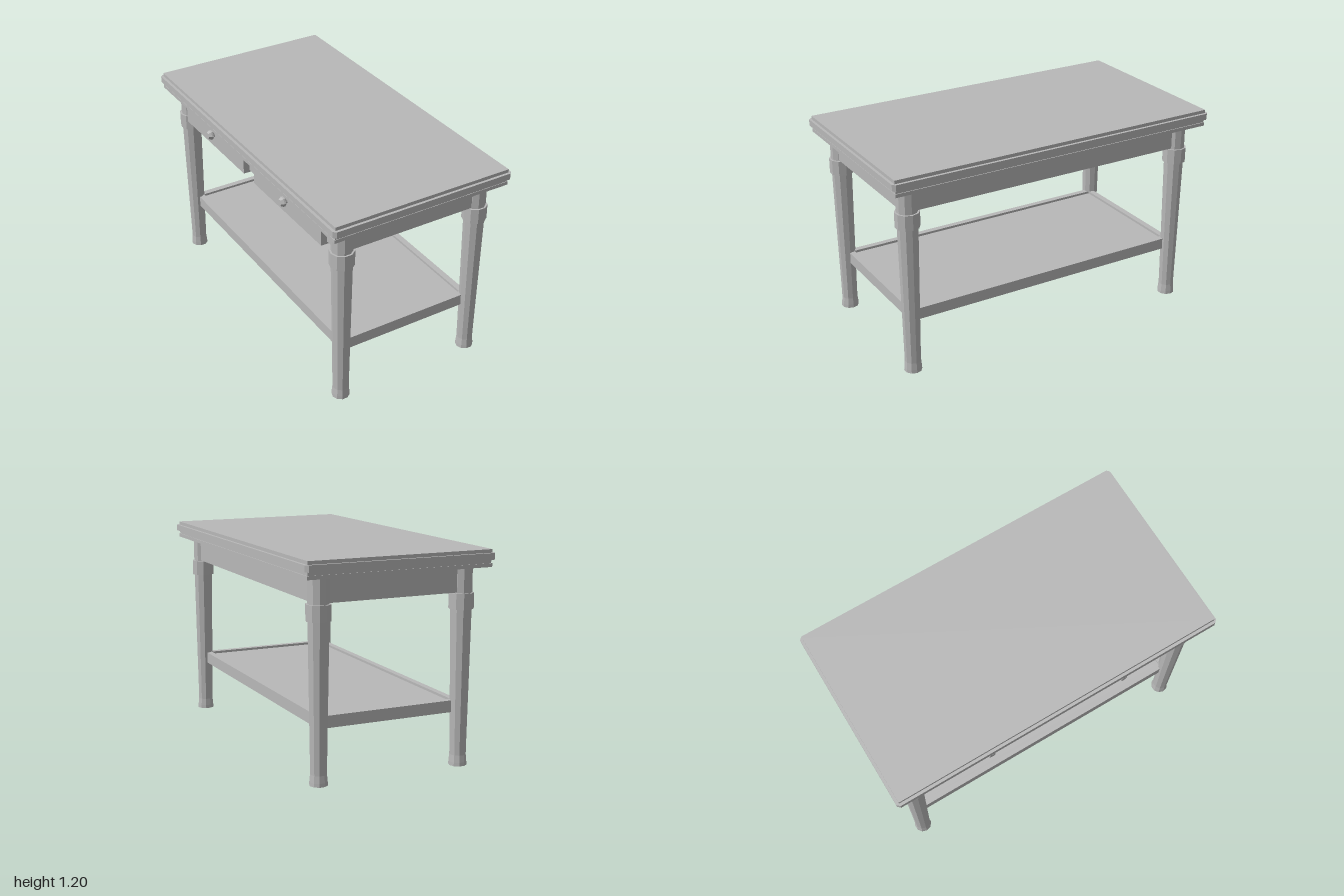
import * as THREE from 'three';

export function createModel() {
  const model = new THREE.Group();
  model.name = 'workTable';
  const grey = new THREE.MeshStandardMaterial({ color: 0xb8b8b8, flatShading: true });
  grey.name = 'plain grey';

  const add = (name, geometry, x = 0, y = 0, z = 0) => {
    const mesh = new THREE.Mesh(geometry, grey);
    mesh.name = name;
    mesh.position.set(x, y, z);
    model.add(mesh);
    return mesh;
  };
  // Box given by centre x/z, bottom and top heights
  const box = (name, w, d, y0, y1, x = 0, z = 0) =>
    add(name, new THREE.BoxGeometry(w, y1 - y0, d), x, (y0 + y1) / 2, z);

  // Table top: stepped layers with a wider moulding cut at the corners
  box('topUnderPlate', 1.07, 1.966, 1.1, 1.12);
  box('topNeck', 1.06, 1.96, 1.12, 1.141);
  const hx = 0.549, hz = 1, c = 0.016;
  const outline = new THREE.Shape([
    [hx - c, -hz], [hx, -hz + c], [hx, hz - c], [hx - c, hz],
    [-hx + c, hz], [-hx, hz - c], [-hx, -hz + c], [-hx + c, -hz],
  ].map(([x, y]) => new THREE.Vector2(x, y)));
  const moulding = new THREE.ExtrudeGeometry(outline, { depth: 0.036, bevelEnabled: false });
  moulding.rotateX(-Math.PI / 2);
  add('topMoulding', moulding, 0, 1.14, 0);
  box('topPlate', 1.066, 1.97, 1.175, 1.195);

  // Faceted legs with a flared foot and a collar
  const legProfile = [
    [0, 0], [0.05, 0], [0.049, 0.02], [0.045, 0.06], [0.046, 0.15], [0.057, 0.87],
    [0.068, 0.87], [0.068, 0.957], [0.058, 0.957], [0.058, 1.1], [0, 1.1],
  ].map(([r, y]) => new THREE.Vector2(r, y));
  const legGeometry = new THREE.LatheGeometry(legProfile, 10, Math.PI / 2);
  for (const sx of [-1, 1])
    for (const sz of [-1, 1]) add('leg', legGeometry, sx * 0.42, 0, sz * 0.868);

  // Apron boards and shelf rails around the four sides
  for (const s of [-1, 1]) {
    box('endApron', 0.8, 0.03, 0.962, 1.1, 0, s * 0.885);
    box('sideApron', 0.03, 1.7, 0.962, 1.1, s * 0.435, 0);
    box('endShelfRail', 0.84, 0.035, 0.3, 0.366, 0, s * 0.852);
    box('sideShelfRail', 0.035, 1.67, 0.3, 0.366, s * 0.4025, 0);
  }
  box('shelfPanel', 0.78, 1.68, 0.335, 0.352);

  // Two drawer fronts with knobs on the right-hand long side
  const knobProfile = [
    [0, 0], [0.015, 0], [0.016, 0.008], [0.028, 0.016], [0.028, 0.026], [0.019, 0.042], [0, 0.042],
  ].map(([r, y]) => new THREE.Vector2(r, y));
  const knobGeometry = new THREE.LatheGeometry(knobProfile, 6);
  knobGeometry.rotateZ(Math.PI / 2);
  for (const s of [-1, 1]) {
    box('drawerFront', 0.045, 0.715, 0.95, 1.09, -0.464, s * 0.417);
    add('drawerKnob', knobGeometry, -0.485, 1.031, s * 0.42);
  }
  return model;
}
